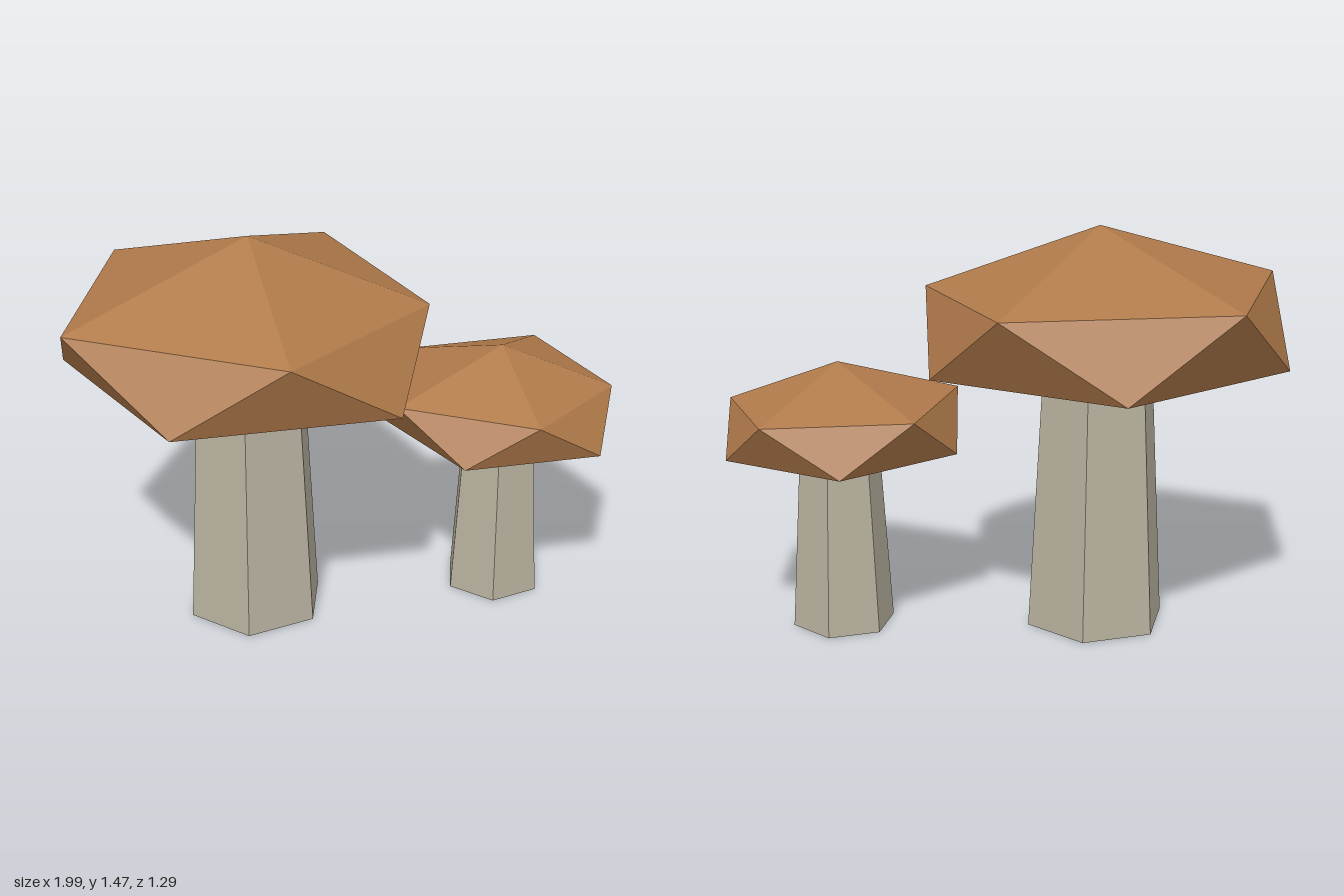
import * as THREE from 'three';

const capMaterial = new THREE.MeshStandardMaterial({ color: 0xb07a4a, flatShading: true });
capMaterial.name = 'cap brown';
const stemMaterial = new THREE.MeshStandardMaterial({ color: 0xb8b19f, flatShading: true });
stemMaterial.name = 'stem grey';

// Cap cross-sections [x, y, z]: apex, widest ring and flat underside ring
const APEX = [0, 0.49, 0];
const RIM = [[0.635, 0.25, -0.005], [0.2, 0.255, 0.605], [-0.58, 0.275, 0.42], [-0.55, 0.275, -0.41], [0.22, 0.27, -0.665]];
const BASE = [[0.555, 0, 0.4], [-0.2, 0, 0.62], [-0.68, 0, -0.01], [-0.2, 0, -0.625], [0.52, 0, -0.4]];

function capGeometry() {
  const corners = [];
  for (let i = 0; i < 5; i++) {
    const j = (i + 1) % 5;
    corners.push(APEX, RIM[j], RIM[i]);          // crown
    corners.push(RIM[i], RIM[j], BASE[i]);       // side, pointing down
    corners.push(BASE[i], RIM[j], BASE[j]);      // side, pointing up
    if (i > 0 && i < 4) corners.push(BASE[0], BASE[i], BASE[j]); // underside
  }
  const geometry = new THREE.BufferGeometry();
  geometry.setAttribute('position', new THREE.Float32BufferAttribute(corners.flat(), 3));
  geometry.computeVertexNormals();
  return geometry;
}

function mushroom(name, { x, z, topRadius, bottomRadius, stemHeight, capY, capScale }) {
  const group = new THREE.Group();
  group.name = name;
  group.position.set(x, 0, z);

  // Six-sided tapered stem
  const stem = new THREE.Mesh(new THREE.CylinderGeometry(topRadius, bottomRadius, stemHeight, 6), stemMaterial);
  stem.name = 'stem';
  stem.position.y = stemHeight / 2;

  // Faceted cap, hovering just above the stem
  const cap = new THREE.Mesh(capGeometry(), capMaterial);
  cap.name = 'cap';
  cap.position.y = capY;
  cap.scale.setScalar(capScale);

  group.add(stem, cap);
  return group;
}

export function createModel() {
  const model = new THREE.Group();
  model.name = 'mushrooms';
  model.add(
    mushroom('largeMushroom', { x: -0.32, z: 0.02, topRadius: 0.212, bottomRadius: 0.262, stemHeight: 0.905, capY: 0.98, capScale: 1 }),
    mushroom('smallMushroom', { x: 0.585, z: -0.205, topRadius: 0.15, bottomRadius: 0.188, stemHeight: 0.605, capY: 0.67, capScale: 0.645 }),
  );
  return model;
}
